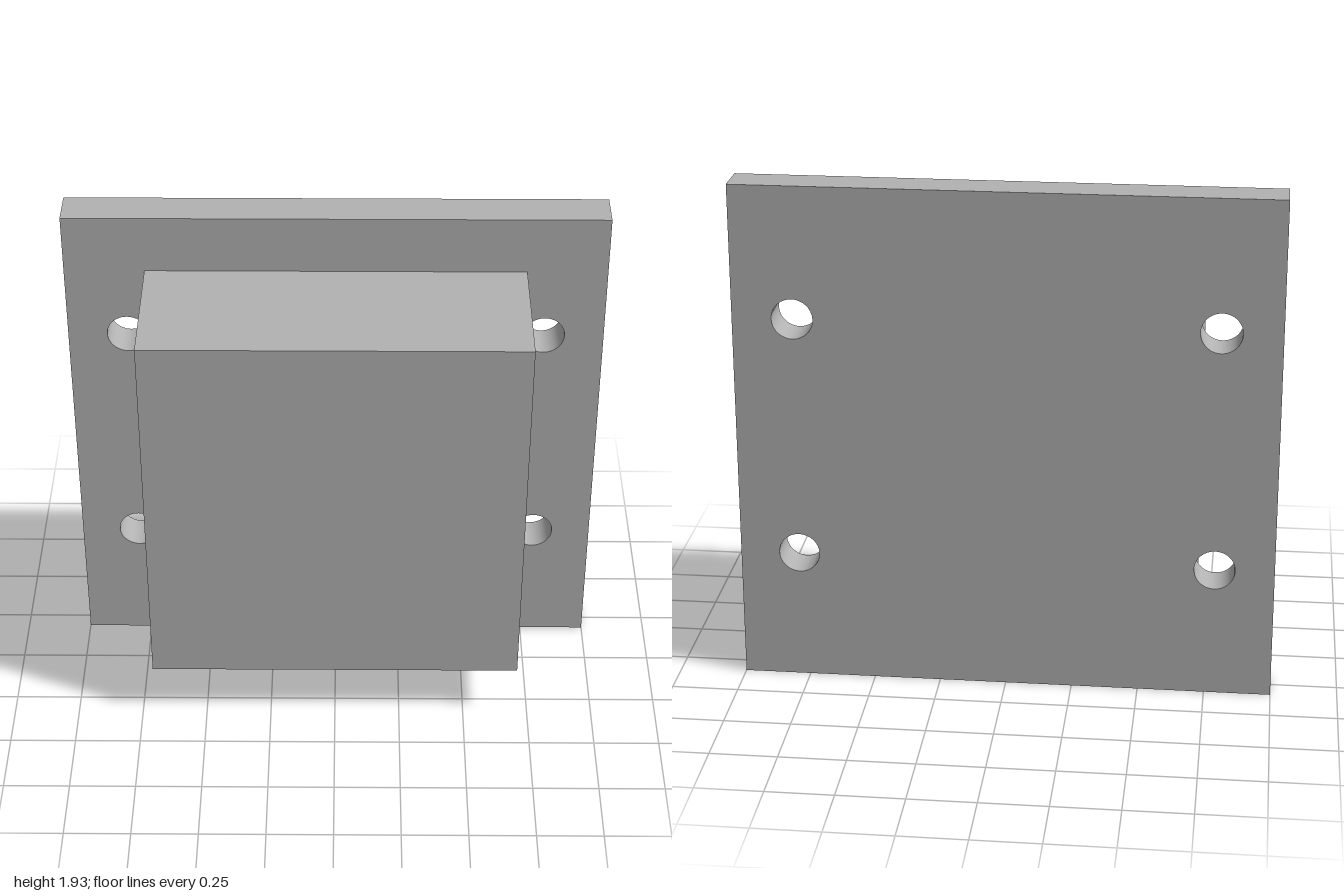
import * as THREE from 'three';
import { toCreasedNormals } from 'three/addons/utils/BufferGeometryUtils.js';

// Rectangle with round through-holes, extruded symmetrically about its own mid-plane
function drilledSlab(x0, x1, y0, y1, depth, holes) {
  const shape = new THREE.Shape();
  shape.moveTo(x0, y0).lineTo(x1, y0).lineTo(x1, y1).lineTo(x0, y1).closePath();
  for (const [x, y, r] of holes) {
    shape.holes.push(new THREE.Path().absarc(x, y, r, 0, Math.PI * 2, true));
  }
  const geometry = new THREE.ExtrudeGeometry(shape, { depth, bevelEnabled: false, curveSegments: 24 });
  geometry.translate(0, 0, -depth / 2);
  return toCreasedNormals(geometry, 0.6);
}

export function createModel() {
  const model = new THREE.Group();
  model.name = 'mountingBlock';
  const grey = new THREE.MeshStandardMaterial({ color: 0xb2b2b2 });
  grey.name = 'grey';

  const back = -0.335, seam = -0.187, front = 0.335;

  // Back plate with four screw holes
  const screwHoles = [];
  for (const x of [-0.778, 0.778]) {
    for (const y of [0.503, 1.428]) screwHoles.push([x, y, 0.076]);
  }
  const plate = new THREE.Mesh(drilledSlab(-1, 1, 0, 1.928, seam - back, screwHoles), grey);
  plate.name = 'backPlate';
  plate.position.z = (back + seam) / 2;
  model.add(plate);

  // Block in front of the plate, cross-drilled from side to side
  const blockGeometry = drilledSlab(-front, -seam, 0.224, 1.706, 1.406, [[-0.077, 0.965, 0.083]]);
  blockGeometry.rotateY(Math.PI / 2);
  const block = new THREE.Mesh(blockGeometry, grey);
  block.name = 'block';
  model.add(block);

  return model;
}
